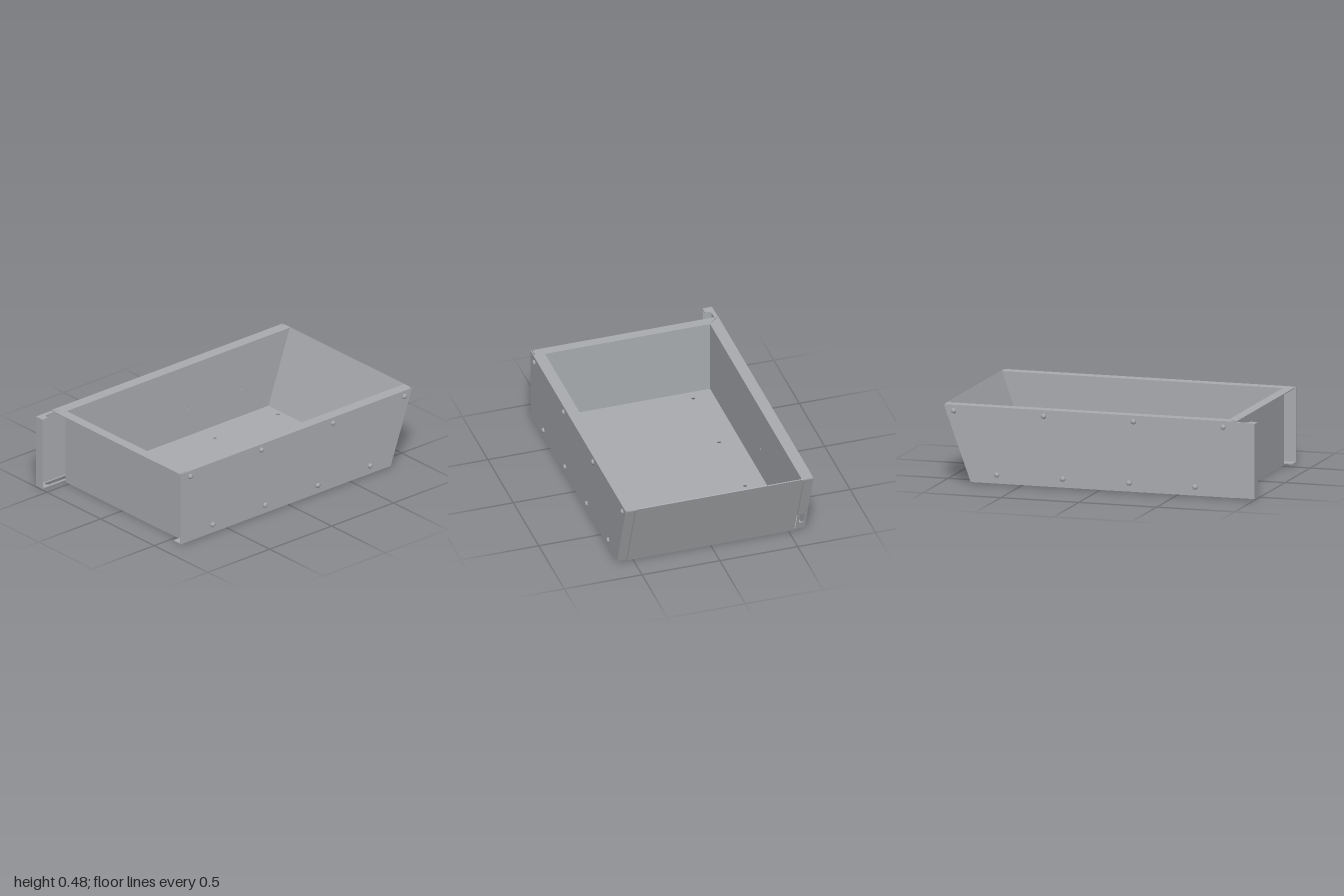
import * as THREE from 'three';

const T = 0.006;                       // sheet thickness
const H = 0.48, XI = 0.53, XO = 0.603; // height, inner and outer half widths
const ZF = 0.82, ZR = 0.877, ZB = -0.82, ZT = -0.995; // front wall, front rim, back bottom, back top

const steel = new THREE.MeshStandardMaterial({ color: 0xa9acb0 });
steel.name = 'greySteel';

const V = (x, y, z) => new THREE.Vector3(x, y, z);
const slopeDir = V(0, H, ZT - ZB).normalize();
const slopeLen = Math.hypot(H, ZT - ZB);

// Plate frames: local x, local y; thickness goes along their cross product
const SIDE = [V(0, 0, -1), V(0, 1, 0)];   // (-z, y), thick along +x
const FLAT = [V(1, 0, 0), V(0, 0, -1)];   // (x, -z), thick along +y
const FRONT = [V(1, 0, 0), V(0, 1, 0)];   // (x, y), thick along +z
const SLOPE = [V(1, 0, 0), slopeDir];     // (x, up the slope)

const rect = (x0, y0, x1, y1) => [[x0, y0], [x1, y0], [x1, y1], [x0, y1]];

function roundHole(x, y, r) {
  return new THREE.Path().absarc(x, y, r, 0, Math.PI * 2, true);
}

// Upright slot, or lying along local y, with rounded ends
function slot(x, y, halfLength, r) {
  const p = new THREE.Path();
  p.absarc(x, y + halfLength - r, r, 0, Math.PI, false);
  p.absarc(x, y - halfLength + r, r, Math.PI, Math.PI * 2, false);
  p.closePath();
  return p;
}

function plate(name, outline, frame, origin, holes = [], depth = T) {
  const shape = outline instanceof THREE.Shape ? outline
    : new THREE.Shape(outline.map(([x, y]) => new THREE.Vector2(x, y)));
  shape.holes.push(...holes);
  const geo = new THREE.ExtrudeGeometry(shape, { depth, bevelEnabled: false, curveSegments: 8 });
  const [u, v] = frame;
  geo.applyMatrix4(new THREE.Matrix4().makeBasis(u, v, u.clone().cross(v)).setPosition(origin));
  const mesh = new THREE.Mesh(geo, steel);
  mesh.name = name;
  return mesh;
}

// Round-headed screw through an outer panel, head facing +x
function screw(y, z, side) {
  const g = new THREE.Group();
  g.name = 'screw';
  const profile = [[0, 0.013], [0.009, 0.012], [0.015, 0.008], [0.017, 0], [0.012, 0], [0.012, -0.022], [0, -0.022]]
    .reverse().map(([r, h]) => new THREE.Vector2(r, h));
  const head = new THREE.Mesh(new THREE.LatheGeometry(profile, 16).toNonIndexed(), steel);
  head.name = 'screwBody';
  head.rotation.z = -side * Math.PI / 2;
  g.add(head);
  g.position.set(side * XO, y, z);
  return g;
}

export function createModel() {
  const model = new THREE.Group();
  model.name = 'sheetMetalTray';
  const add = (...args) => model.add(plate(...args));

  // Floor with two rows of fixing holes
  const floorHoles = [];
  for (const x of [-0.4, 0.395])
    for (const z of [-0.78, -0.27, 0.237, 0.745]) floorHoles.push(roundHole(x, -z, 0.012));
  add('floor', rect(-XI - T, -ZF, XI + T, -ZB), FLAT, V(0, 0, 0), floorHoles);

  // Front wall and sloping back wall
  add('frontWall', rect(-XI - T, 0, XI + T, H), FRONT, V(0, 0, ZF - T));
  add('backWall', rect(-XI - T, 0, XI + T, slopeLen), SLOPE, V(0, 0, ZB));

  // Front rim with its mitred left-hand and rounded right-hand ends
  const rim = new THREE.Shape();
  rim.moveTo(-XI, -ZF);
  rim.lineTo(-XO + 0.012, -ZR + 0.004);
  rim.lineTo(-XO + 0.02, -ZR);
  rim.lineTo(0.57, -ZR);
  rim.quadraticCurveTo(0.592, -ZR, 0.592, -ZR + 0.025);
  rim.lineTo(0.592, -ZF);
  add('frontRim', rim, FLAT, V(0, H - T, 0));

  for (const s of [-1, 1]) {
    const label = s > 0 ? 'left' : 'right';
    const zEnd = s > 0 ? ZR : 1;       // one outer panel runs on past the front

    // Inner side wall with small holes
    const dots = s > 0 ? [[0.73, 0.13], [0.21, 0.15], [-0.25, 0.15]] : [[-0.17, 0.187], [-0.6, 0.187]];
    add(label + 'InnerWall', [[-ZF, 0], [-ZB, 0], [-ZT, H], [-ZF, H]], SIDE,
      V(s > 0 ? XI : -XI - T, 0, 0), dots.map(([z, y]) => roundHole(-z, y, 0.007)));

    // Top rim joining the inner wall to the outer panel, with a clipped back corner
    const rimPts = [[XI, -ZF], [XO - 0.005, -ZR + 0.01], [XO - 0.005, -ZT - 0.012], [XO - 0.018, -ZT], [XI, -ZT]];
    if (s > 0) rimPts[1][1] = -ZF;
    add(label + 'Rim', rimPts.map(([x, y]) => [s * x, y]), FLAT, V(0, H - T, 0));

    // Outer panel; the extension past the front is slightly lower
    const outline = [[-ZR, 0.006], [-ZB, 0.006], [-ZT, H], [-ZR, H]];
    if (s < 0) outline.push([-ZR, H - 0.005], [-zEnd, H - 0.005], [-zEnd, 0.01], [-ZR, 0.01]);
    add(label + 'OuterPanel', outline, SIDE, V(s > 0 ? XO - T : -XO, 0, 0));

    // Bottom return flange, slotted on the longer panel
    const slots = s < 0 ? [-0.29, 0.05, 0.5, 0.84].map(z => slot(-0.572, -z, 0.11, 0.018)) : [];
    add(label + 'BottomFlange', rect(s > 0 ? XI + 0.01 : -XO, -zEnd, s > 0 ? XO : -XI - 0.01, -ZB),
      FLAT, V(0, 0.007, 0), slots);

    // Sloping return flange at the back
    const backHole = s < 0 ? [slot(-0.572, 0.11, 0.045, 0.015)] : [];
    add(label + 'BackFlange', rect(s > 0 ? XI + 0.014 : -XO, 0.01, s > 0 ? XO : -XI - 0.014, slopeLen - 0.008),
      SLOPE, V(0, 0, ZB), backHole);

    // Staggered upper and lower screws
    for (const z of [0.797, 0.222, -0.355, -0.932]) model.add(screw(0.443, z, s));
    for (const z of [0.617, 0.193, -0.232, -0.655]) model.add(screw(0.06, z, s));
  }

  // Front return flange of the longer panel
  add('frontReturnFlange', rect(-XO, 0.01, -0.54, H - 0.005), FRONT, V(0, 0, 1 - T));

  // Top tab of the extension, with a rounded notch
  const tab = new THREE.Shape();
  tab.moveTo(-XO, -1);
  tab.lineTo(-0.542, -1);
  tab.lineTo(-0.542, -0.955);
  tab.quadraticCurveTo(-0.58, -0.955, -0.58, -0.915);
  tab.lineTo(-0.58, -0.87);
  tab.lineTo(-XO, -0.87);
  add('extensionTopTab', tab, FLAT, V(0, H - 0.005 - T, 0));

  return model;
}
